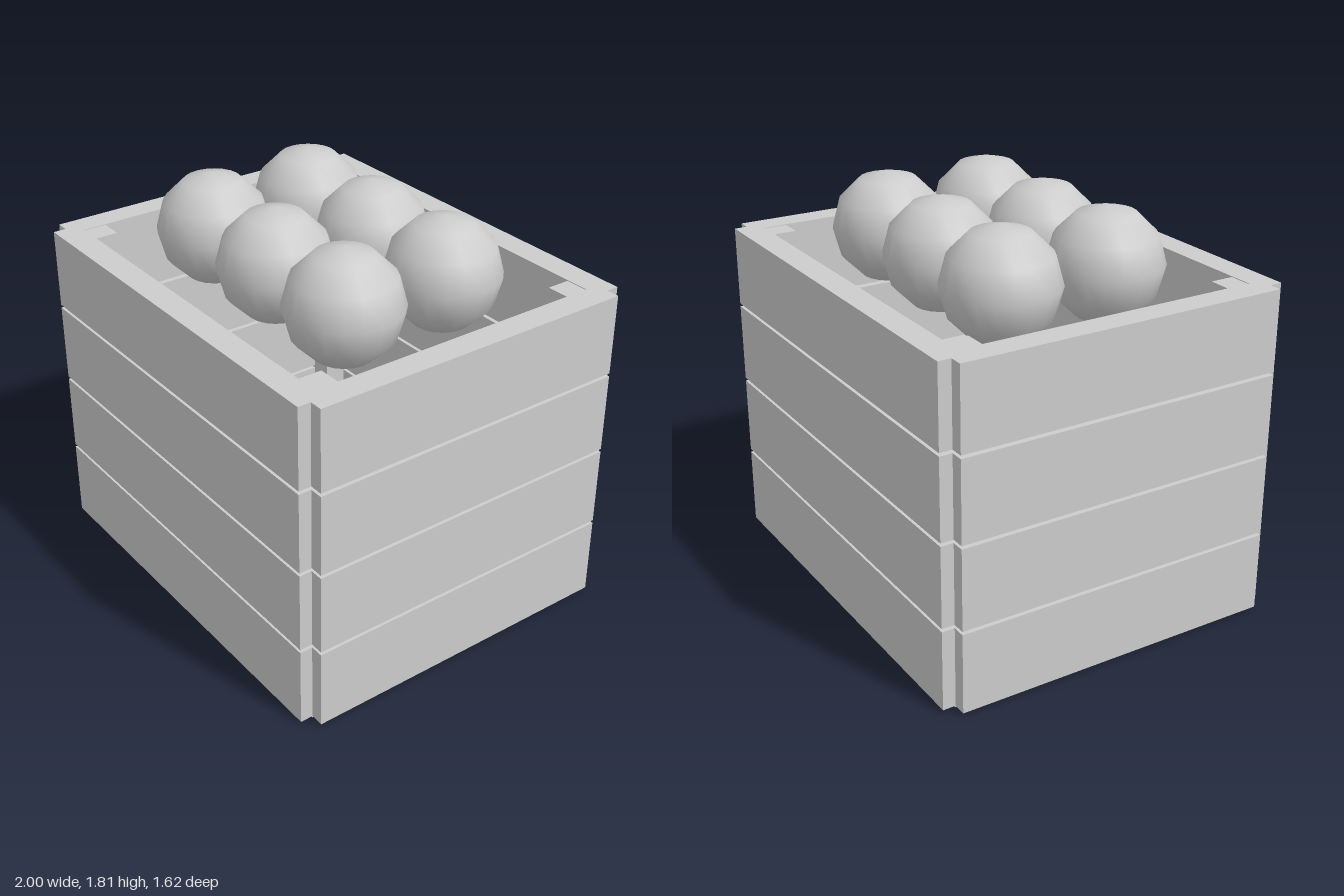
import * as THREE from 'three';

export function createModel() {
  const model = new THREE.Group();
  model.name = 'crateOfBalls';
  const grey = new THREE.MeshStandardMaterial({ color: 0xcccccc });
  grey.name = 'plain grey';

  const add = (name, geometry, x, y, z) => {
    const mesh = new THREE.Mesh(geometry, grey);
    mesh.name = name;
    mesh.position.set(x, y, z);
    model.add(mesh);
  };

  // Four rows of wall boards with narrow gaps between them
  const boardHeight = 0.364, pitch = 0.3787, thickness = 0.12;
  const longBoard = new THREE.BoxGeometry(1.88, boardHeight, thickness);
  const shortBoard = new THREE.BoxGeometry(thickness, boardHeight, 1.508);
  for (let row = 0; row < 4; row++) {
    const y = 0.01 + boardHeight / 2 + row * pitch;
    add('frontBoard', longBoard, 0, y, 0.752);
    add('backBoard', longBoard, 0, y, -0.752);
    add('leftBoard', shortBoard, 0.94, y, 0);
    add('rightBoard', shortBoard, -0.94, y, 0);
  }

  // Corner posts, just proud of the top boards
  const post = new THREE.BoxGeometry(0.13, 1.497, 0.13);
  for (const sx of [-1, 1]) {
    for (const sz of [-1, 1]) add('cornerPost', post, sx * 0.837, 0.7585, sz * 0.649);
  }

  // Floor planks running front to back
  const plank = new THREE.BoxGeometry(0.46, 0.12, 1.508);
  for (let i = 0; i < 4; i++) add('floorPlank', plank, (i - 1.5) * 0.471, 0.06, 0);

  // Two rows of three balls near the rim
  const ball = new THREE.SphereGeometry(0.255, 20, 6);
  for (const x of [-0.476, 0, 0.476]) {
    for (const z of [-0.256, 0.256]) add('ball', ball, x, 1.56, z);
  }

  return model;
}
